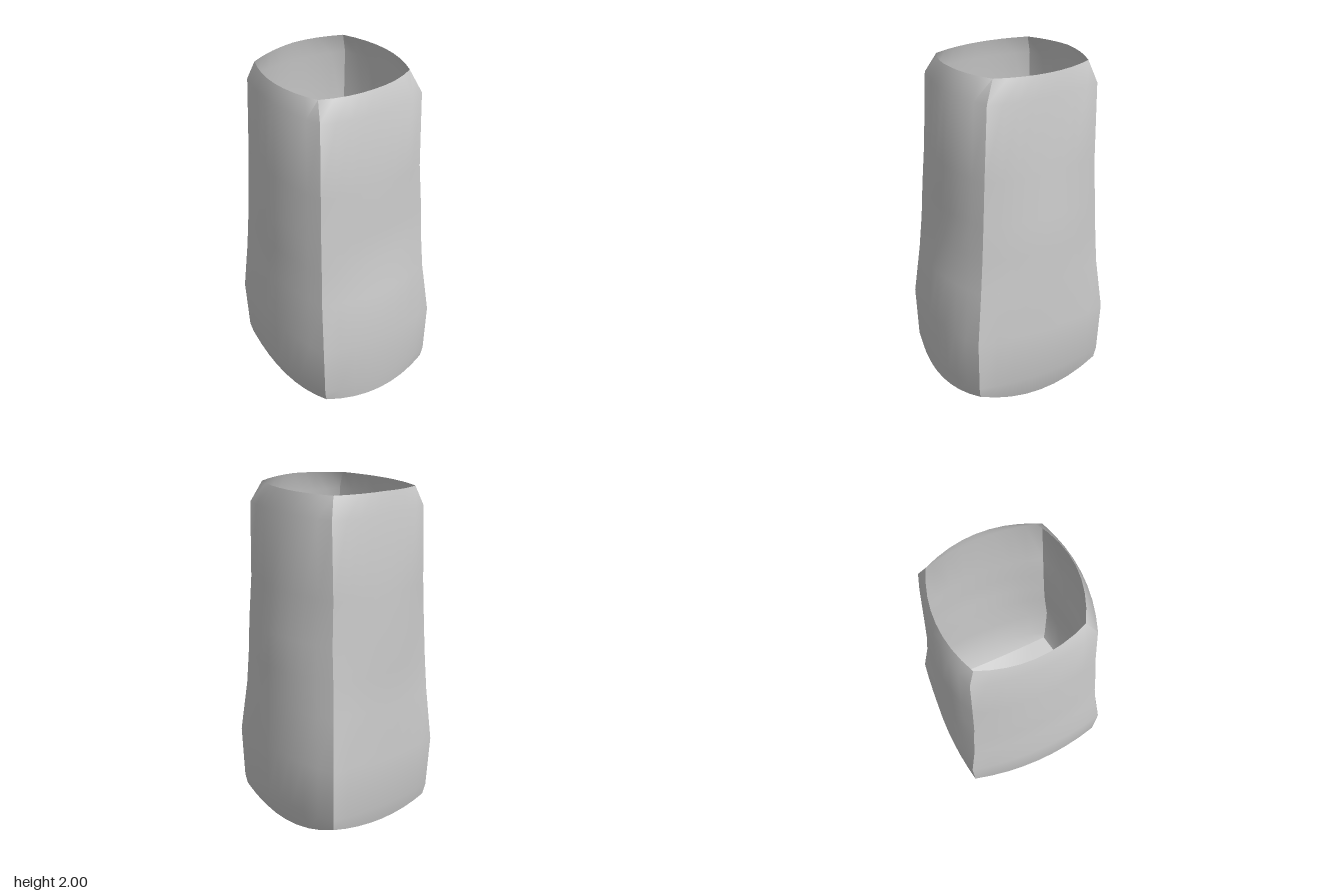
import * as THREE from 'three';
import { toCreasedNormals } from 'three/addons/utils/BufferGeometryUtils.js';

const SEG = 8; // segments along each of the four bulged sides

// Height, mid-side extents (left, right, front, back), corner extents (same order)
const LEVELS = [
  [0.14, -0.37, 0.37, 0.44, -0.43, -0.35, 0.35, 0.39, -0.41],
  [0.20, -0.42, 0.42, 0.455, -0.455, -0.365, 0.36, 0.4, -0.42],
  [0.50, -0.43, 0.425, 0.47, -0.465, -0.38, 0.37, 0.41, -0.435],
  [0.80, -0.415, 0.42, 0.445, -0.445, -0.365, 0.345, 0.375, -0.405],
  [1.00, -0.41, 0.418, 0.41, -0.45, -0.355, 0.338, 0.36, -0.395],
  [1.20, -0.41, 0.415, 0.41, -0.45, -0.35, 0.335, 0.35, -0.385],
  [1.45, -0.395, 0.39, 0.4, -0.45, -0.34, 0.325, 0.335, -0.38],
  [1.88, -0.39, 0.385, 0.385, -0.435, -0.33, 0.33, 0.32, -0.375],
  [2.00, -0.365, 0.36, 0.345, -0.41, -0.3, 0.29, 0.26, -0.34],
];

// Lower edge sags between the corners: front, right, back, left
const SAG = [0.05, 0.085, 0.04, 0.07];

// One closed cross-section: four corners joined by parabolic sides
function section([y, left, right, front, back, cl, cr, cf, cb], isEdge, isRim) {
  const corners = [[cl, cf], [cr, cf], [cr, cb], [cl, cb]];
  const bulge = [[0, front - cf], [right - cr, 0], [0, back - cb], [left - cl, 0]];
  const points = [];
  for (let side = 0; side < 4; side++) {
    const a = corners[side], b = corners[(side + 1) % 4];
    for (let i = 0; i < SEG; i++) {
      const t = i / SEG;
      const arc = 4 * t * (1 - t);
      const x = a[0] + (b[0] - a[0]) * t + bulge[side][0] * arc;
      const z = a[1] + (b[1] - a[1]) * t + bulge[side][1] * arc;
      let h = y;
      if (isEdge) h -= SAG[side] * arc;
      if (isRim) h -= 0.05 * Math.max(0, -x); // rim dips slightly on one side
      points.push(new THREE.Vector3(x, h, z));
    }
  }
  return points;
}

// Skin a list of equal-length closed loops, bottom to top
function skin(loops) {
  const n = loops[0].length;
  const positions = loops.flat().flatMap((p) => [p.x, p.y, p.z]);
  const index = [];
  for (let j = 0; j < loops.length - 1; j++) {
    for (let i = 0; i < n; i++) {
      const k = (i + 1) % n;
      const a = j * n + i, b = j * n + k, c = b + n, d = a + n;
      if (j > 0) index.push(a, b, c);
      index.push(a, c, d);
    }
  }
  const geometry = new THREE.BufferGeometry();
  geometry.setAttribute('position', new THREE.Float32BufferAttribute(positions, 3));
  geometry.setIndex(index);
  return toCreasedNormals(geometry, THREE.MathUtils.degToRad(38));
}

export function createModel() {
  const group = new THREE.Group();
  group.name = 'openSack';

  const walls = LEVELS.map((l, i) => section(l, i === 0, i === LEVELS.length - 1));

  // Pillowed base: the lower edge shrinks to the centre along a shallow bowl
  const base = [0, 0.25, 0.5, 0.75].map((r) =>
    walls[0].map((p) => new THREE.Vector3(p.x * r, p.y * r * r, p.z * r)));

  // Thin shell, open at the top
  const material = new THREE.MeshStandardMaterial({ color: 0xcccccc, side: THREE.DoubleSide });
  const sack = new THREE.Mesh(skin([...base, ...walls]), material);
  sack.name = 'sackBody';
  group.add(sack);
  return group;
}
